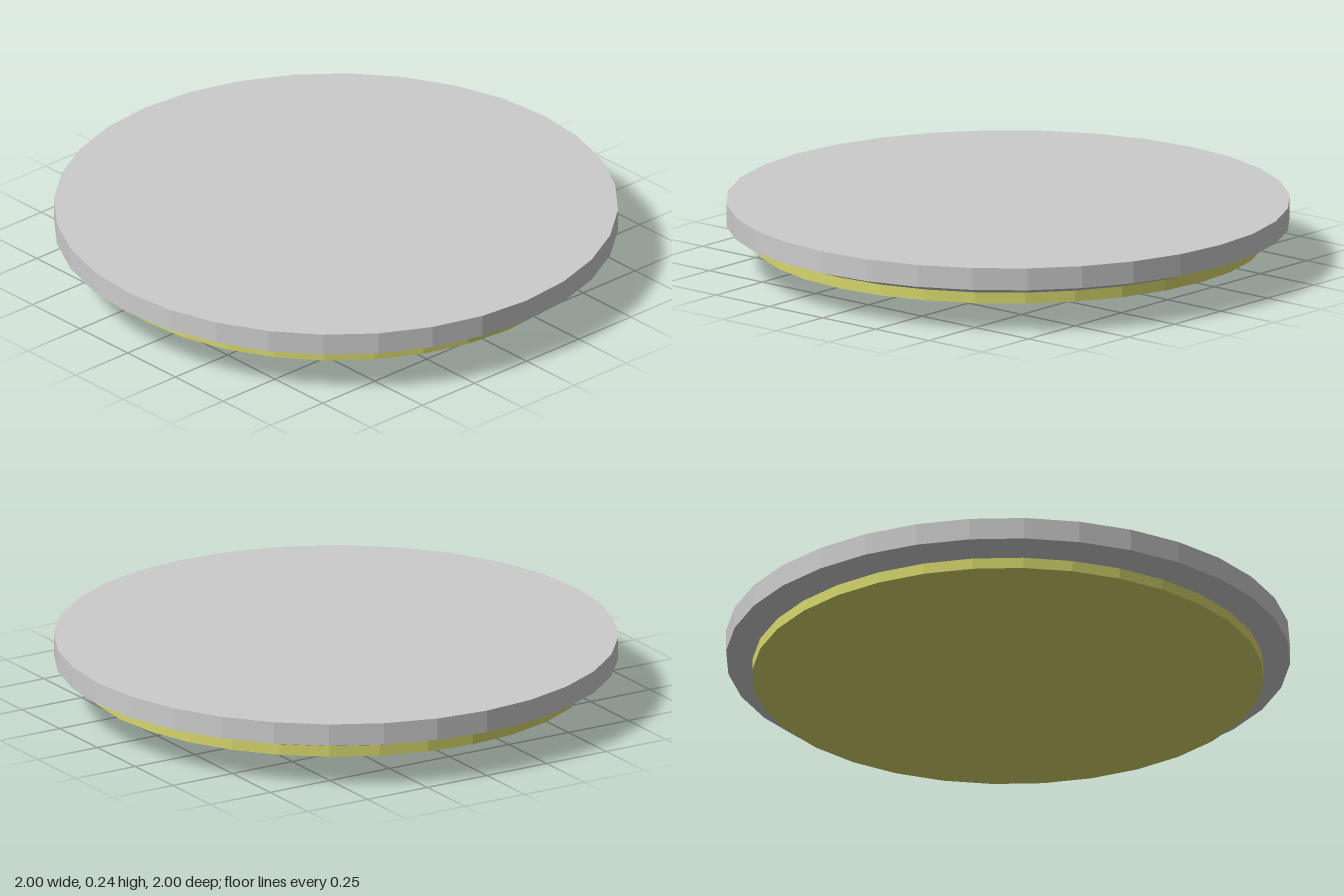
import * as THREE from 'three';

const SIDES = 32;

// Faceted solid of revolution from [radius, height] pairs, listed bottom to top
function turned(name, color, profile) {
  const points = profile.map(([r, y]) => new THREE.Vector2(r, y));
  const material = new THREE.MeshStandardMaterial({ color, flatShading: true });
  const mesh = new THREE.Mesh(new THREE.LatheGeometry(points, SIDES), material);
  mesh.name = name;
  return mesh;
}

export function createModel() {
  const model = new THREE.Group();
  model.name = 'ceilingLight';

  // Shallow yellow diffuser with a flat centre and a short upright edge
  model.add(turned('diffuser', 0xd6d66c, [[0, 0], [0.29, 0], [0.907, 0.09], [0.907, 0.13]]));

  // Grey mounting plate: chamfered underside, upright rim, flat top
  model.add(turned('mountingPlate', 0xcccccc, [[0.907, 0.13], [1, 0.162], [1, 0.242], [0, 0.242]]));

  return model;
}
